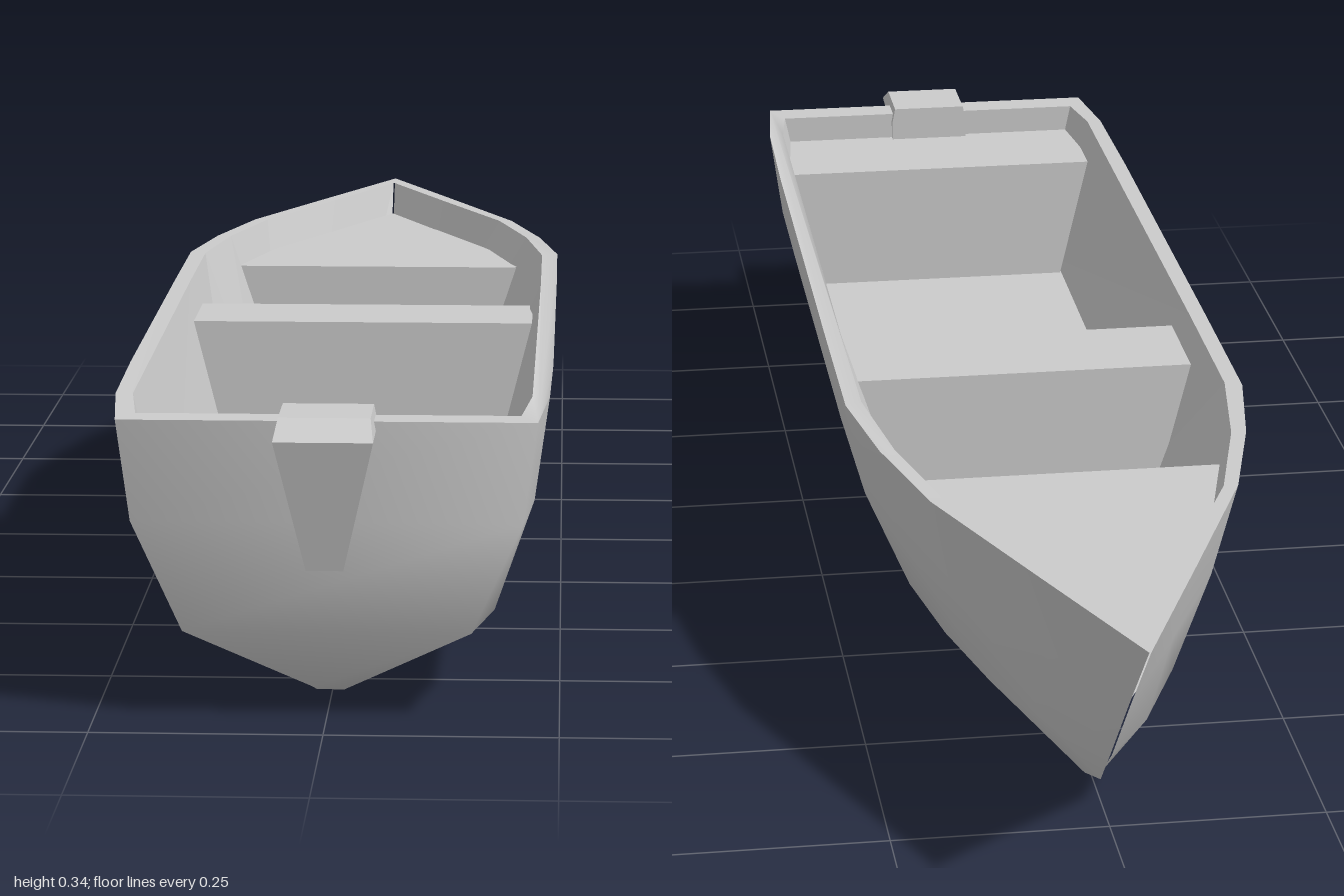
import * as THREE from 'three';

const material = new THREE.MeshStandardMaterial({ color: 0xcccccc });
const flatMaterial = new THREE.MeshStandardMaterial({ color: 0xcccccc, flatShading: true });

// Mirrors a half section (gunwale down to keel) into a full one
const mirrorRing = (half) => [...half, ...half.map(([x, y, z]) => [-x, y, z]).reverse()];

// Skins the sections from stern to bow and closes the stern end
function loft(halves, inward) {
  const rings = halves.map(mirrorRing);
  const n = rings[0].length;
  const index = [];
  const quad = (a, b, c, d) => index.push(...(inward ? [a, c, b, a, d, c] : [a, b, c, a, c, d]));
  for (let j = 0; j < rings.length - 1; j++) {
    for (let i = 0; i < n - 1; i++) {
      quad(j * n + i, j * n + i + 1, (j + 1) * n + i + 1, (j + 1) * n + i);
    }
  }
  for (let i = 0; i < n / 2 - 1; i++) quad(i, n - 1 - i, n - 2 - i, i + 1);
  const geometry = new THREE.BufferGeometry();
  geometry.setAttribute('position', new THREE.Float32BufferAttribute(rings.flat(2), 3));
  geometry.setIndex(index);
  geometry.computeVertexNormals();
  return geometry;
}

// Symmetric plan outline from half points [x, z]
const outline = (half) => [
  ...half.map(([x, z]) => new THREE.Vector2(x, -z)),
  ...half.map(([x, z]) => new THREE.Vector2(-x, -z)).reverse(),
];

// Box whose bottom and top are separate rectangles: [half width, z back, z front]
function taperedBox(y0, y1, bottom, top) {
  const geometry = new THREE.BoxGeometry(2, 1, 1);
  const p = geometry.attributes.position;
  for (let i = 0; i < p.count; i++) {
    const [w, zBack, zFront] = p.getY(i) > 0 ? top : bottom;
    p.setXYZ(i, p.getX(i) * w, p.getY(i) > 0 ? y1 : y0, p.getZ(i) > 0 ? zFront : zBack);
  }
  geometry.computeVertexNormals();
  return geometry;
}

export function createModel() {
  const boat = new THREE.Group();
  boat.name = 'rowingBoat';
  const add = (name, geometry, mat = material, parent = boat) => {
    const mesh = new THREE.Mesh(geometry, mat);
    mesh.name = name;
    parent.add(mesh);
    return mesh;
  };

  // Half sections: gunwale, upper strake, chine, keel
  const hull = [
    [[0.225, 0.325, 0.93], [0.21, 0.215, 0.93], [0.155, 0.095, 0.93], [0.015, 0.03, 0.91]],
    [[0.237, 0.33, 0.8], [0.221, 0.215, 0.8], [0.178, 0.092, 0.8], [0.015, 0.01, 0.84]],
    [[0.24, 0.33, 0.6], [0.222, 0.215, 0.6], [0.18, 0.092, 0.6], [0.015, 0, 0.63]],
    [[0.242, 0.33, 0], [0.223, 0.215, 0], [0.18, 0.092, 0], [0.015, 0, 0]],
    [[0.242, 0.33, -0.25], [0.22, 0.215, -0.25], [0.167, 0.092, -0.25], [0.015, 0, -0.25]],
    [[0.218, 0.33, -0.4], [0.194, 0.215, -0.4], [0.142, 0.092, -0.4], [0.015, 0, -0.4]],
    [[0.178, 0.33, -0.56], [0.15, 0.215, -0.55], [0.108, 0.092, -0.54], [0.014, 0.004, -0.53]],
    [[0.09, 0.33, -0.78], [0.075, 0.215, -0.72], [0.055, 0.092, -0.67], [0.01, 0.01, -0.63]],
    [[0.001, 0.33, -1], [0.001, 0.215, -0.88], [0.001, 0.092, -0.755], [0.001, 0.03, -0.69]],
  ];
  add('hull', loft(hull, false));

  // Inner walls and floor: half sections of gunwale and floor edge
  const floorY = 0.125;
  const inside = [
    [[0.207, 0.325, 0.89], [0.165, floorY, 0.89]],
    [[0.218, 0.33, 0.8], [0.172, floorY, 0.8]],
    [[0.222, 0.33, 0], [0.17, floorY, 0]],
    [[0.222, 0.33, -0.24], [0.15, floorY, -0.24]],
    [[0.2, 0.33, -0.4], [0.132, floorY, -0.4]],
    [[0.161, 0.33, -0.56], [0.09, floorY, -0.54]],
    [[0.078, 0.33, -0.76], [0.045, floorY, -0.66]],
    [[0.001, 0.33, -0.95], [0.001, floorY, -0.75]],
  ];
  add('innerWallsAndFloor', loft(inside, true), flatMaterial);

  // Flat rim between the two shells, dipping slightly at the stern
  const plan = (rows) => outline(rows.map(([g]) => [g[0], g[2]]));
  const rimShape = new THREE.Shape(plan(hull));
  rimShape.holes.push(new THREE.Path(plan(inside)));
  const rim = new THREE.ShapeGeometry(rimShape).rotateX(-Math.PI / 2);
  const p = rim.attributes.position;
  for (let i = 0; i < p.count; i++) p.setY(i, p.getZ(i) > 0.85 ? 0.325 : 0.33);
  rim.computeVertexNormals();
  add('rim', rim);

  // Benches
  const seatY = 0.29;
  add('middleBench', taperedBox(floorY, seatY, [0.17, -0.07, 0.07], [0.215, -0.07, 0.07]));
  add('sternBench', taperedBox(floorY, seatY, [0.17, 0.74, 0.895], [0.209, 0.74, 0.895]));

  // Bow deck with its bulkhead
  const deckShape = new THREE.Shape(outline([
    [0.19, -0.4], [0.149, -0.56], [0.073, -0.745], [0.001, -0.91],
  ]));
  const deck = new THREE.ShapeGeometry(deckShape).rotateX(-Math.PI / 2);
  add('bowDeck', deck).position.y = seatY;
  add('bowBulkhead', taperedBox(floorY, seatY - 0.001, [0.132, -0.42, -0.4], [0.189, -0.42, -0.4]));

  // Bracket hooked over the transom
  const bracket = new THREE.Group();
  bracket.name = 'sternBracket';
  boat.add(bracket);
  add('bracketLeg', taperedBox(0.17, 0.315, [0.02, 0.91, 0.965], [0.053, 0.91, 1]), material, bracket);
  add('bracketCap', taperedBox(0.315, 0.335, [0.053, 0.88, 1], [0.049, 0.88, 0.965]), material, bracket);
  add('bracketHook', taperedBox(0.285, 0.315, [0.053, 0.88, 0.91], [0.053, 0.88, 0.91]), material, bracket);

  return boat;
}
